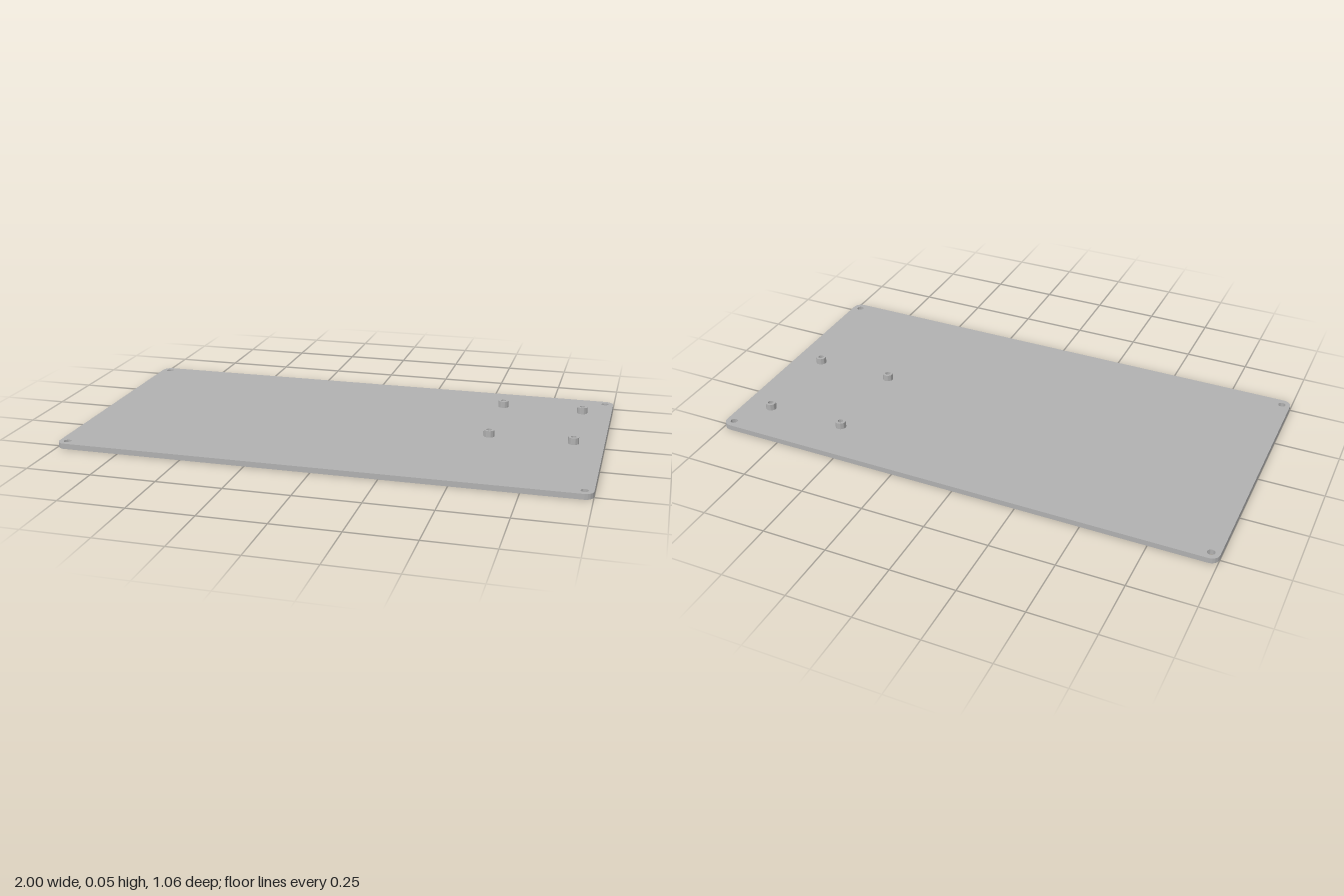
import * as THREE from 'three';
import { toCreasedNormals } from 'three/addons/utils/BufferGeometryUtils.js';

const W = 1, D = 0.528, T = 0.021;        // half width, half depth, thickness
const CORNER = 0.033, SCREW = 0.014;      // corner radius, screw hole radius
const POST = 0.0205, BORE = 0.0105, POST_TOP = 0.047;
const FOOT = 0.043, FOOT_DEPTH = 0.006;

// every pairing of the given x and z positions
const grid = (xs, zs) => xs.flatMap(x => zs.map(z => [x, z]));
const screws = grid([-0.967, 0.967], [-0.495, 0.495]);
const posts = grid([0.565, 0.885], [-0.357, 0.023]);
const feet = grid([-0.84, 0.84], [-0.427, 0.427]);

// rounded rectangle with round holes, drawn with shape y = -z
function outline(holes) {
  const s = new THREE.Shape();
  const x = W - CORNER, y = D - CORNER;
  s.absarc(x, y, CORNER, 0, Math.PI / 2);
  s.absarc(-x, y, CORNER, Math.PI / 2, Math.PI);
  s.absarc(-x, -y, CORNER, Math.PI, Math.PI * 1.5);
  s.absarc(x, -y, CORNER, Math.PI * 1.5, Math.PI * 2);
  s.closePath();
  for (const [centres, r] of holes) {
    for (const [cx, cz] of centres) {
      s.holes.push(new THREE.Path().absarc(cx, -cz, r, 0, Math.PI * 2, true));
    }
  }
  return s;
}

// only the walls of an extruded shape, without its lids
function walls(shape, depth) {
  const g = new THREE.ExtrudeGeometry(shape, { depth, bevelEnabled: false, curveSegments: 16 });
  const { start, count } = g.groups[1];
  const out = new THREE.BufferGeometry();
  const p = g.attributes.position.array.slice(start * 3, (start + count) * 3);
  out.setAttribute('position', new THREE.BufferAttribute(p, 3));
  return toCreasedNormals(out, 0.6);
}

function lathe(profile) {
  const pts = profile.map(([r, y]) => new THREE.Vector2(r, y));
  return toCreasedNormals(new THREE.LatheGeometry(pts, 32), 0.6);
}

export function createModel() {
  const model = new THREE.Group();
  model.name = 'mountingPlate';
  const grey = new THREE.MeshStandardMaterial({ color: 0xb0b0b0 });
  grey.name = 'plain grey';

  function add(name, geometry, x = 0, y = 0, z = 0) {
    const mesh = new THREE.Mesh(geometry, grey);
    mesh.name = name;
    mesh.position.set(x, y, z);
    model.add(mesh);
  }

  // plate: top face, underside, and edges with the screw hole walls
  const top = new THREE.ShapeGeometry(outline([[screws, SCREW], [posts, POST]]), 16);
  add('plateTop', top.rotateX(-Math.PI / 2), 0, T);

  const bottom = new THREE.ShapeGeometry(outline([[screws, SCREW], [feet, FOOT]]), 16);
  add('plateUnderside', bottom.rotateX(Math.PI / 2));

  add('plateEdges', walls(outline([[screws, SCREW]]), T).rotateX(-Math.PI / 2));

  // hollow standoffs on top
  const post = lathe([[POST, T], [POST, POST_TOP], [BORE, POST_TOP], [BORE, T], [0, T]]);
  for (const [x, z] of posts) add('standoff', post, x, 0, z);

  // shallow round foot recesses underneath
  const recess = lathe([[0, FOOT_DEPTH], [FOOT, FOOT_DEPTH], [FOOT, 0]]);
  for (const [x, z] of feet) add('footRecess', recess, x, 0, z);

  return model;
}
